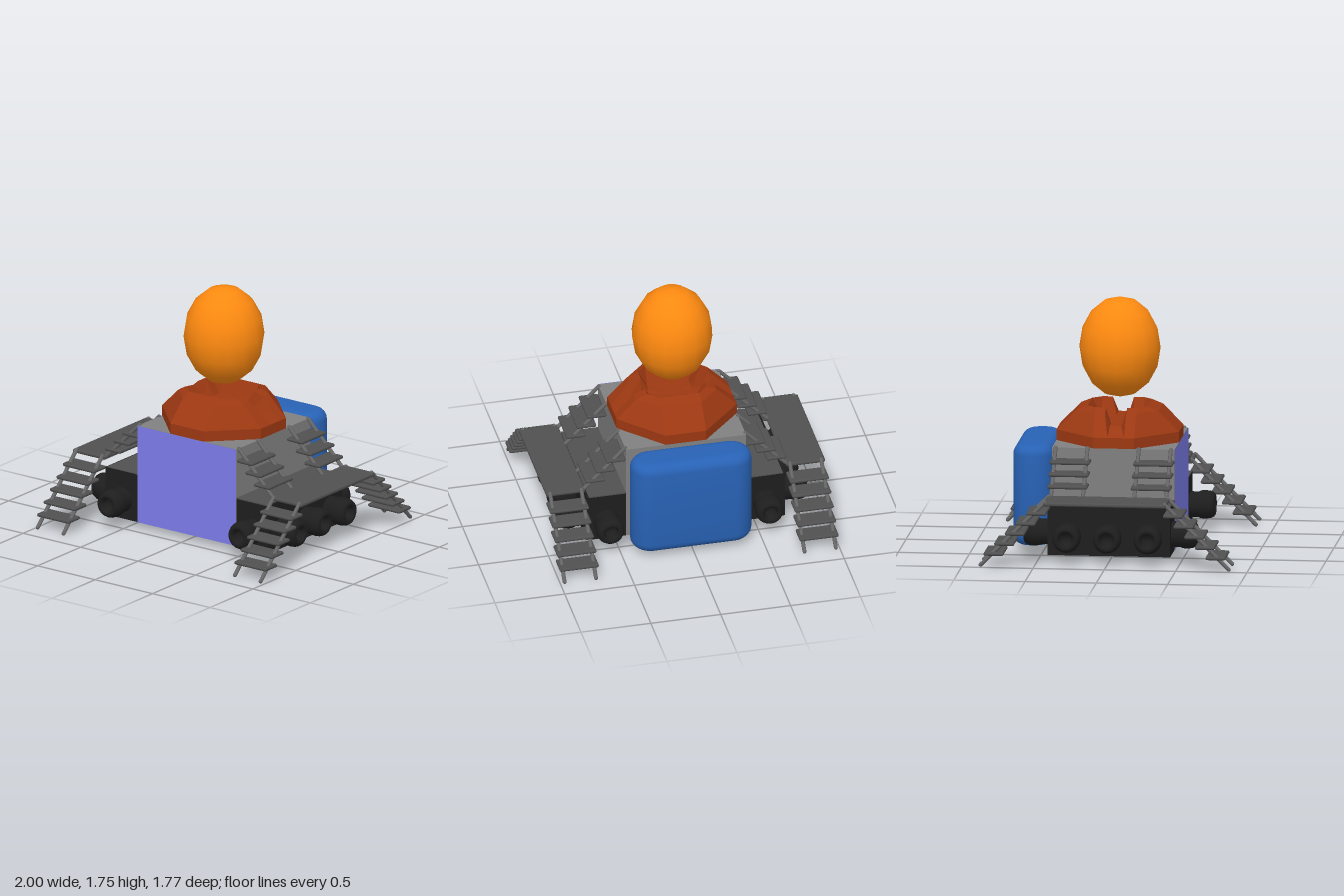
import * as THREE from 'three';
import { toCreasedNormals } from 'three/addons/utils/BufferGeometryUtils.js';
import { RoundedBoxGeometry } from 'three/addons/geometries/RoundedBoxGeometry.js';

const mat = (color, extra = {}) => {
  const m = new THREE.MeshStandardMaterial({ color });
  return Object.assign(m, extra);
};
const GREY = mat(0x808080);
const BLACK = mat(0x1e1e1e);
const STEP = mat(0x505050);
const RAIL = mat(0x666666);
const PURPLE = mat(0x7d7cec, { side: THREE.DoubleSide });
const BLUE = mat(0x2862b5);
const ORANGE = mat(0xff8a10);
const RUST = mat(0x9c3812, { flatShading: true, side: THREE.DoubleSide });

function add(parent, name, geometry, material, x = 0, y = 0, z = 0) {
  const mesh = new THREE.Mesh(geometry, material);
  mesh.name = name;
  mesh.position.set(x, y, z);
  parent.add(mesh);
  return mesh;
}

// Open staircase descending along its local +z
function staircase(name, steps, firstZ, firstY, reach) {
  const group = new THREE.Group();
  group.name = name;
  const tread = new RoundedBoxGeometry(0.28, 0.025, 0.14, 2, 0.012);
  for (let i = 0; i < steps; i++) {
    add(group, 'tread', tread, STEP, 0, firstY - 0.0725 * i, firstZ + 0.0745 * i);
  }
  const a = new THREE.Vector3(0, 0.01, -0.01);
  const b = new THREE.Vector3(0, -reach, reach);
  const dir = b.clone().sub(a);
  const railGeo = new THREE.CapsuleGeometry(0.014, dir.length(), 3, 8);
  for (const x of [-0.112, 0.112]) {
    const rail = add(group, 'stairRail', railGeo, RAIL);
    rail.position.copy(a).add(b).multiplyScalar(0.5).setX(x);
    rail.quaternion.setFromUnitVectors(new THREE.Vector3(0, 1, 0), dir.clone().normalize());
  }
  return group;
}

// Rounded nozzle with a dimpled end, pointing along local +z
function nozzleGeometry() {
  const profile = [
    [0.09, 0], [0.09, 0.06], [0.098, 0.075], [0.1, 0.11], [0.096, 0.145],
    [0.084, 0.168], [0.068, 0.178], [0.052, 0.17], [0.042, 0.15], [0.038, 0.12], [0, 0.115],
  ].map(([r, h]) => new THREE.Vector2(r, h));
  return new THREE.LatheGeometry(profile, 20).rotateX(Math.PI / 2);
}

// Faceted eight-sided collar, lower at the middle of its two sides
function collarGeometry() {
  const levels = [[0.43, 0.76], [0.43, 0.835], [0.285, 0.98], [0.21, 1.01], [0.15, 0.9]];
  const ring = ([r, y]) => {
    const low = Math.min(y, 0.895);
    const q = [[r, low, 0.04], [r, y, 0.075], [r, y, 0.145], [0.145, y, r]];
    const flip = (sx, sz) => q.map(([x, h, z]) => [x * sx, h, z * sz]);
    return [...flip(1, 1), ...flip(-1, 1).reverse(), ...flip(-1, -1), ...flip(1, -1).reverse()];
  };
  const rings = levels.map(ring);
  const n = rings[0].length;
  const pos = [];
  for (let i = 0; i < n; i++) {
    const j = (i + 1) % n;
    for (let k = 0; k < rings.length - 1; k++) {
      const [a, b, c, d] = [rings[k][i], rings[k + 1][i], rings[k + 1][j], rings[k][j]];
      pos.push(...a, ...b, ...c, ...a, ...c, ...d);
    }
    // Floor of the bowl
    pos.push(...rings.at(-1)[i], 0, 0.89, 0, ...rings.at(-1)[j]);
  }
  const g = new THREE.BufferGeometry();
  g.setAttribute('position', new THREE.Float32BufferAttribute(pos, 3));
  g.computeVertexNormals();
  return g;
}

// Pillow-shaped pack: a stadium outline extruded upwards with round bevels
function packGeometry() {
  const bevel = 0.07;
  const half = 0.288;
  const s = new THREE.Shape();
  s.absarc(half, 0, 0.0725, -Math.PI / 2, Math.PI / 2);
  s.absarc(-half, 0, 0.0725, Math.PI / 2, Math.PI * 1.5);
  const g = new THREE.ExtrudeGeometry(s, {
    depth: 0.71 - 2 * bevel, bevelSize: bevel, bevelThickness: bevel,
    bevelSegments: 5, curveSegments: 10,
  });
  g.rotateX(-Math.PI / 2);
  return toCreasedNormals(g, 0.7);
}

export function createModel() {
  const model = new THREE.Group();
  model.name = 'steppedVehicle';

  // Central body, front panel and rear pack
  add(model, 'body', new THREE.BoxGeometry(0.86, 0.71, 0.86), GREY, 0, 0.405, 0);
  add(model, 'frontPanel', new THREE.PlaneGeometry(0.86, 0.71), PURPLE, 0, 0.405, 0.433);
  add(model, 'rearPack', packGeometry(), BLUE, 0, 0.12, -0.573);

  // Collar and floating head
  add(model, 'collar', collarGeometry(), RUST);
  add(model, 'head', new THREE.SphereGeometry(0.285, 16, 8).scale(1, 0.355 / 0.285, 1), ORANGE, 0, 1.405, 0);

  const nozzle = nozzleGeometry();
  const deck = new RoundedBoxGeometry(0.28, 0.028, 0.86, 2, 0.012);
  for (const s of [1, -1]) {
    // Side block with a walkway on top
    add(model, 'sideBlock', new THREE.BoxGeometry(0.28, 0.35, 0.86), BLACK, s * 0.57, 0.225, 0);
    add(model, 'walkway', new THREE.BoxGeometry(0.265, 0.008, 0.86), STEP, s * 0.5625, 0.401, 0);
    add(model, 'sideDeck', deck, STEP, s * 0.858, 0.46, 0);

    // Three nozzles on the side, one at each end
    for (const z of [-0.285, 0, 0.285]) {
      add(model, 'sideNozzle', nozzle, BLACK, s * 0.71, 0.19, z).rotation.y = s * Math.PI / 2;
    }
    for (const e of [1, -1]) {
      add(model, 'endNozzle', nozzle, BLACK, s * 0.57, 0.19, e * 0.43).rotation.y = e > 0 ? 0 : Math.PI;

      // Long stairs to the ground
      const long = staircase('groundStairs', 5, 0.05, -0.07, 0.44);
      long.position.set(s * 0.858, 0.46, e * 0.43);
      long.rotation.y = e > 0 ? 0 : Math.PI;
      model.add(long);

      // Short stairs from the body top to the deck
      const short = staircase('upperStairs', 3, 0.06, -0.075, 0.28);
      short.position.set(s * 0.44, 0.75, e * 0.292);
      short.rotation.y = s * Math.PI / 2;
      model.add(short);
    }
  }
  return model;
}
